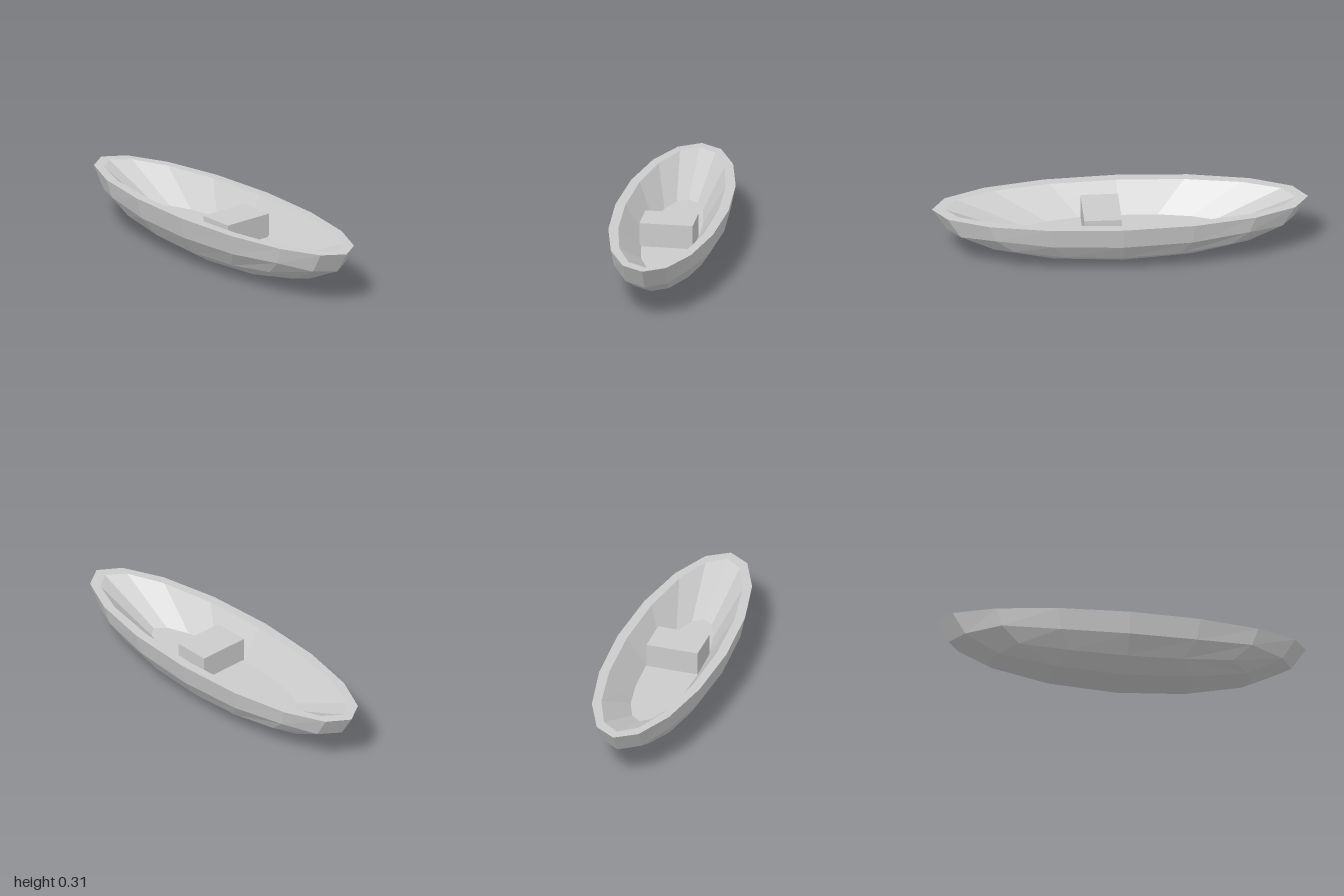
import * as THREE from 'three';

const HALF_WIDTH = 0.304, HALF_LENGTH = 1, RIM_Y = 0.305, FLOOR_Y = 0.15;
const INNER_WIDTH = 0.25, INNER_LENGTH = 0.935;

const material = new THREE.MeshStandardMaterial({ color: 0xcccccc, flatShading: true });

function part(name, geometry) {
  const mesh = new THREE.Mesh(geometry, material);
  mesh.name = name;
  return mesh;
}

// Rounds a twice-halved cube point onto the unit sphere:
// half-way points are the average of their rounded neighbours.
function roundCubePoint(p) {
  const options = (c) => (Math.abs(c) > 0.4 && Math.abs(c) < 0.6 ? [0, Math.sign(c)] : [Math.round(c)]);
  const sum = new THREE.Vector3();
  for (const x of options(p.x))
    for (const y of options(p.y))
      for (const z of options(p.z)) sum.add(new THREE.Vector3(x, y, z).normalize());
  return sum.normalize();
}

// Outer shell: lower half of a rounded cube, stretched into a boat
function hullGeometry() {
  const box = new THREE.BoxGeometry(2, 1, 2, 4, 2, 4).translate(0, -0.5, 0);
  const top = box.groups[2]; // open top
  const index = Array.from(box.index.array);
  index.splice(top.start, top.count);
  box.setIndex(index);
  box.clearGroups();
  const pos = box.attributes.position;
  const p = new THREE.Vector3();
  for (let i = 0; i < pos.count; i++) {
    const q = roundCubePoint(p.fromBufferAttribute(pos, i));
    pos.setXYZ(i, q.x * HALF_WIDTH, RIM_Y + q.y * RIM_Y, q.z * HALF_LENGTH);
  }
  const flat = box.toNonIndexed();
  flat.computeVertexNormals();
  return flat;
}

// Oval band or disc, from an outer to an inner ring [half width, half length, y]
function ovalBand(outer, inner) {
  const g = new THREE.LatheGeometry([new THREE.Vector2(2, 0), new THREE.Vector2(1, 0)], 16);
  const pos = g.attributes.position;
  for (let i = 0; i < pos.count; i++) {
    const x = pos.getX(i), z = pos.getZ(i), r = Math.hypot(x, z);
    const [w, l, y] = r > 1.5 ? outer : inner;
    pos.setXYZ(i, (x / r) * w, y, (z / r) * l);
  }
  const flat = g.toNonIndexed();
  flat.computeVertexNormals();
  return flat;
}

export function createModel() {
  const boat = new THREE.Group();
  boat.name = 'rowingBoat';

  const outerRim = [HALF_WIDTH, HALF_LENGTH, RIM_Y];
  const innerRim = [INNER_WIDTH, INNER_LENGTH, RIM_Y];
  const floorEdge = [0.145, 0.55, FLOOR_Y];

  boat.add(part('hull', hullGeometry()));
  boat.add(part('rim', ovalBand(outerRim, innerRim)));
  boat.add(part('innerWall', ovalBand(innerRim, floorEdge)));

  // Flat floor
  const floor = new THREE.CircleGeometry(1, 16).rotateX(-Math.PI / 2);
  floor.scale(floorEdge[0], 1, floorEdge[1]).translate(0, FLOOR_Y, 0);
  boat.add(part('floor', floor));

  // Bench seat, a little forward of the middle
  const seat = part('seat', new THREE.BoxGeometry(0.286, 0.13, 0.2));
  seat.position.set(0, FLOOR_Y + 0.065, 0.1);
  boat.add(seat);

  return boat;
}
